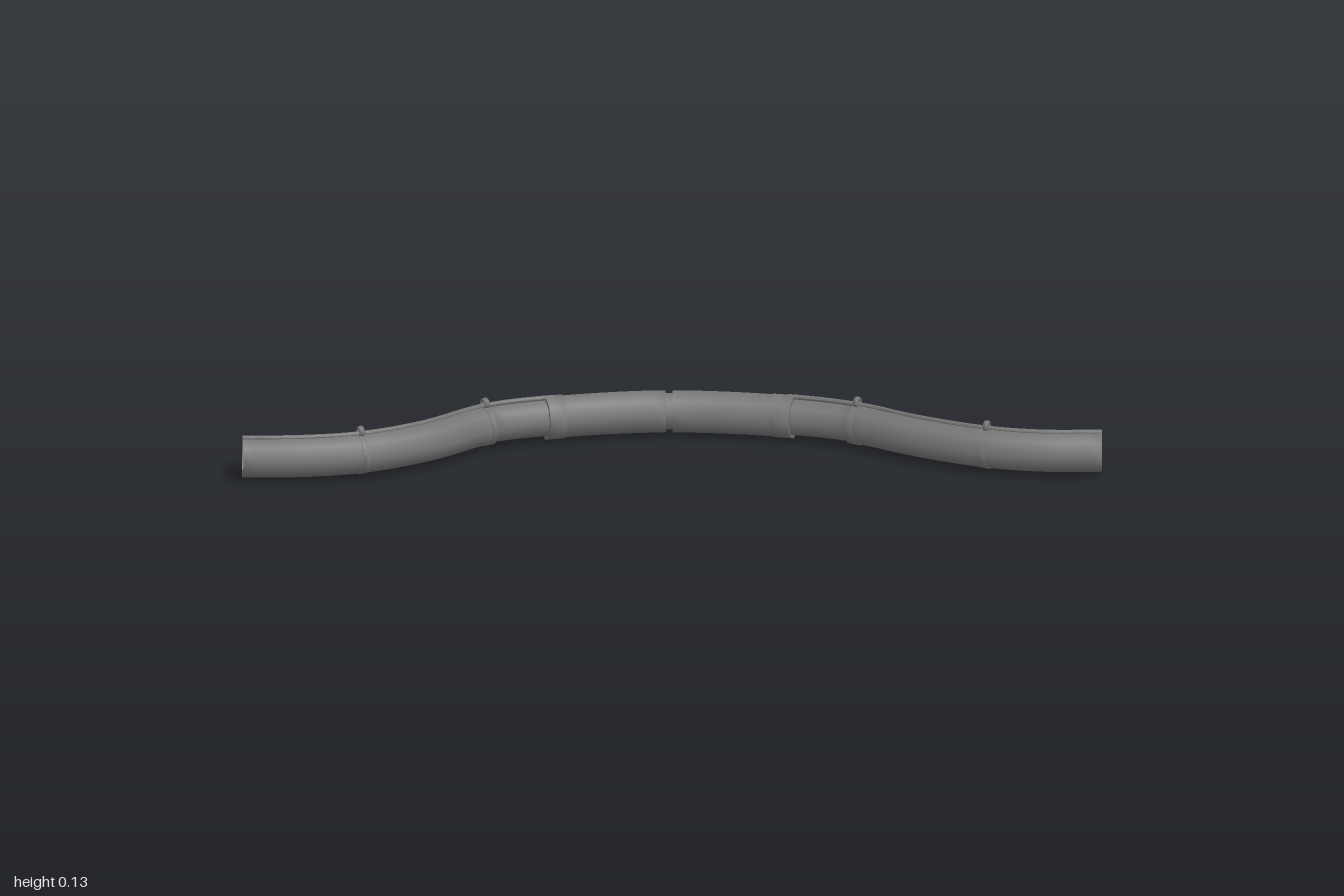
import * as THREE from 'three';
import { toCreasedNormals } from 'three/addons/utils/BufferGeometryUtils.js';

const AXIS_Y = 0.055;
const SIDES = 8;
const mat = new THREE.MeshStandardMaterial({ color: 0x757575, side: THREE.DoubleSide });

// centre line of the whole pipe, seen from above as [x, z]
const path = new THREE.CatmullRomCurve3([
  [-0.988, -0.222], [-0.85, -0.187], [-0.71, -0.175], [-0.55, -0.207], [-0.37, -0.287],
  [-0.2, -0.299], [0.07, -0.265], [0.34, -0.15], [0.487, -0.045], [0.59, 0.075],
  [0.73, 0.2], [0.85, 0.264], [0.985, 0.303],
].map(([x, z]) => new THREE.Vector3(x, AXIS_Y, z)), false, 'centripetal');

// point and heading on the centre line at a given x
function frameAt(x) {
  let lo = 0, hi = 1;
  for (let i = 0; i < 30; i++) {
    const mid = (lo + hi) / 2;
    if (path.getPoint(mid).x < x) lo = mid; else hi = mid;
  }
  return { point: path.getPoint(lo), dir: path.getTangent(lo) };
}

// sweeps rings of [x, radius] along the centre line; lift raises the ring centre
function sweep(name, rings, lift = 0, sides = SIDES) {
  const pos = [], index = [];
  rings.forEach(([x, r], i) => {
    const { point, dir } = frameAt(x);
    for (let j = 0; j < sides; j++) {
      const a = (j / sides) * Math.PI * 2;
      const u = Math.cos(a) * r;
      pos.push(point.x - dir.z * u, point.y + lift + Math.sin(a) * r, point.z + dir.x * u);
      if (i === 0) continue;
      const k = (j + 1) % sides, p = (i - 1) * sides, q = i * sides;
      index.push(p + j, p + k, q + j, q + j, p + k, q + k);
    }
  });
  const geo = new THREE.BufferGeometry();
  geo.setAttribute('position', new THREE.Float32BufferAttribute(pos, 3));
  geo.setIndex(index);
  const mesh = new THREE.Mesh(toCreasedNormals(geo, Math.PI / 3), mat);
  mesh.name = name;
  return mesh;
}

// evenly spaced rings of one radius
function run(x0, x1, r, n) {
  return Array.from({ length: n + 1 }, (_, i) => [x0 + ((x1 - x0) * i) / n, r]);
}

// closed collar: a raised run stepping down to an inner radius at both ends
function collar(name, x0, x1, r, inner, n) {
  return sweep(name, [[x0, inner], ...run(x0, x1, r, n), [x1, inner]]);
}

// strap around the pipe with a small eye on top holding the cable
function clip(x) {
  const group = new THREE.Group();
  group.name = 'cableClip';
  group.add(collar('strap', x - 0.007, x + 0.007, 0.0515, 0.046, 1));
  const { point, dir } = frameAt(x);
  const eye = new THREE.Mesh(new THREE.TorusGeometry(0.011, 0.004, 6, 8), mat);
  eye.name = 'eye';
  eye.scale.z = 1.8;
  eye.position.set(point.x, 0.11, point.z);
  eye.rotation.y = Math.atan2(dir.x, dir.z);
  group.add(eye);
  return group;
}

export function createModel() {
  const model = new THREE.Group();
  model.name = 'pipeBend';

  // open outer pipes, and the slimmer necks entering the sleeves
  model.add(
    sweep('leftPipe', run(0.48, 0.985, 0.05, 18)),
    sweep('rightPipe', run(-0.988, -0.37, 0.05, 20)),
    sweep('rightNeck', [[-0.37, 0.05], ...run(-0.365, -0.19, 0.046, 6)]),
    sweep('leftNeck', [...run(0.32, 0.475, 0.046, 6), [0.48, 0.05]]),
  );

  // two thick sleeves joined over a core, with end flanges
  model.add(
    collar('rightSleeve', -0.2, 0.07, 0.053, 0.044, 10),
    collar('leftSleeve', 0.086, 0.34, 0.053, 0.044, 10),
    sweep('jointCore', run(0.06, 0.1, 0.046, 2)),
    collar('rightFlange', -0.218, -0.176, 0.0555, 0.045, 2),
    collar('leftFlange', 0.308, 0.352, 0.0545, 0.045, 2),
  );

  // cable lying along the top of the pipes
  model.add(
    sweep('rightCable', run(-0.988, -0.2, 0.006, 28), 0.05, 6),
    sweep('leftCable', run(0.34, 0.985, 0.006, 28), 0.05, 6),
  );

  for (const x of [-0.71, -0.37, 0.482, 0.73]) model.add(clip(x));
  return model;
}
